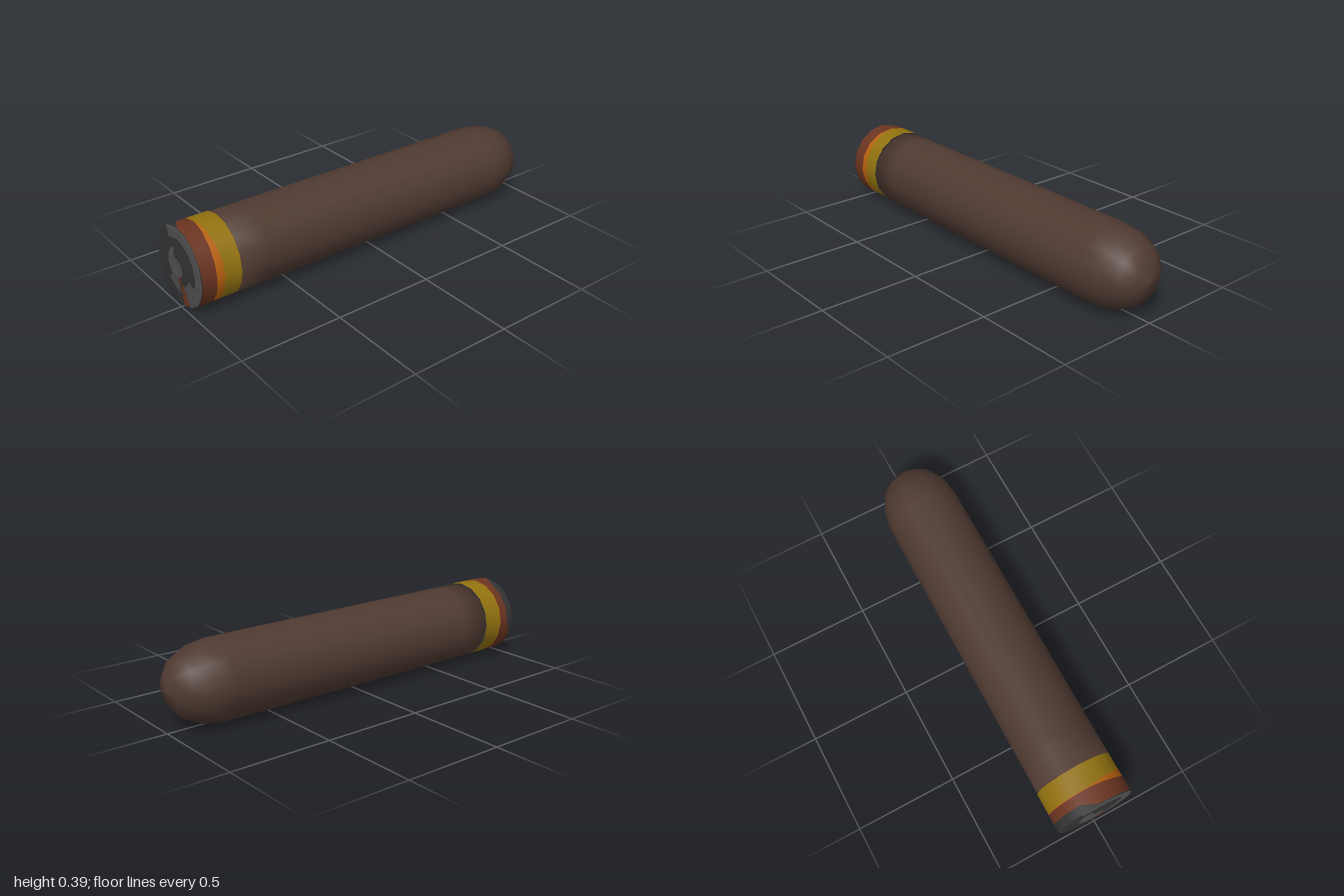
import * as THREE from 'three';

const mat = (name, color) => {
  const m = new THREE.MeshStandardMaterial({ color });
  m.name = name;
  return m;
};
const RAD = Math.PI / 180;

// Closed-round surface along z: rows run from back to front, each row is angle -> [radius, z].
// paint(row, angleInDegrees) returns a material index for each quad.
function roundSurface(rows, segs, centre, paint) {
  const pos = [], lists = [];
  for (const row of rows) {
    for (let j = 0; j < segs; j++) {
      const a = (j / segs) * 360;
      const [r, z] = row(a);
      // sixteen-sided outline at every segment count
      const off = ((a % 22.5) - 11.25) * RAD;
      const rp = r * Math.cos(11.25 * RAD) / Math.cos(off);
      const [cx, cy] = centre(z);
      pos.push(cx + rp * Math.cos(a * RAD), cy + rp * Math.sin(a * RAD), z);
    }
  }
  for (let i = 0; i < rows.length - 1; i++) {
    for (let j = 0; j < segs; j++) {
      const k = (j + 1) % segs;
      const a = i * segs + j, b = i * segs + k, c = b + segs, d = a + segs;
      const m = paint(i, ((j + 0.5) / segs) * 360);
      (lists[m] ||= []).push(a, b, c, a, c, d);
    }
  }
  const g = new THREE.BufferGeometry();
  g.setAttribute('position', new THREE.Float32BufferAttribute(pos, 3));
  const index = [];
  lists.forEach((list, m) => {
    g.addGroup(index.length, list.length, m);
    for (const v of list) index.push(v);
  });
  g.setIndex(index);
  g.computeVertexNormals();
  return g;
}

export function createModel() {
  const leaf = mat('tobaccoLeaf', 0x4f3a31);
  const gold = mat('goldBand', 0x92720f);
  const orange = mat('emberOrange', 0xb8620f);
  const burnt = mat('burntBrown', 0x6b3421);
  const darkAsh = mat('darkAsh', 0x323232);
  const paleAsh = mat('paleAsh', 0x4f4f4f);

  const group = new THREE.Group();
  const add = (name, geometry, materials) => {
    const mesh = new THREE.Mesh(geometry, materials);
    mesh.name = name;
    group.add(mesh);
  };
  const fixed = ([r, z]) => () => [r, z];

  // rolled body with a rounded tail, leaning very slightly off the axis
  const bodyProfile = [
    [0, -1], [0.08, -0.977], [0.14, -0.93], [0.178, -0.85], [0.193, -0.75],
    [0.193, 0.64], [0.193, 0.779], [0, 0.779],
  ];
  const lean = z => [-0.002 - 0.006 * z, 0.1965 + 0.0015 * z];
  add('body', roundSurface(bodyProfile.map(fixed), 16, lean, () => 0), [leaf]);

  // burning end: gold band, orange wedge on the left side, burnt edge, ash creeping over the rim
  const tipCentre = () => [-0.008, 0.2];
  const wedge = a => Math.max(0, Math.cos(a * RAD));
  const R = 0.194;
  const tipRows = [
    () => [R, 0.787],
    a => [R, 0.893 - 0.022 * wedge(a)],
    a => [R, 0.897 + 0.014 * wedge(a)],
    a => [R, a > 95 && a < 185 ? 0.945 : 0.982],
    () => [R, 0.986],
  ];
  add('burningTip', roundSurface(tipRows, 16, tipCentre, i => i), [gold, orange, burnt, darkAsh]);
  add('tipBack', roundSurface([[0, 0.787], [R, 0.787]].map(fixed), 16, tipCentre, () => 0), [darkAsh]);

  // ash face with shallow concentric ridges
  const face = [
    [R, 0.986], [0.183, 0.991], [0.172, 0.987], [0.155, 0.992], [0.138, 0.988],
    [0.115, 0.993], [0.092, 0.991], [0.07, 0.998], [0.046, 0.998], [0.04, 0.992], [0, 0.995],
  ];
  const paintFace = (i, a) => {
    const r = (face[i][0] + face[i + 1][0]) / 2;
    if (r < 0.046) return 1;
    if (a > 275 && a < 293) return 2;
    if (r > 0.135) return a < 120 || a > 290 ? 1 : 0;
    if (r < 0.092) return a > 105 && a < 270 ? 1 : 0;
    return (a > 225 && a < 268) || (a > 293 && a < 335) ? 1 : 0;
  };
  add('ashFace', roundSurface(face.map(fixed), 64, tipCentre, paintFace), [darkAsh, paleAsh, burnt]);

  return group;
}
